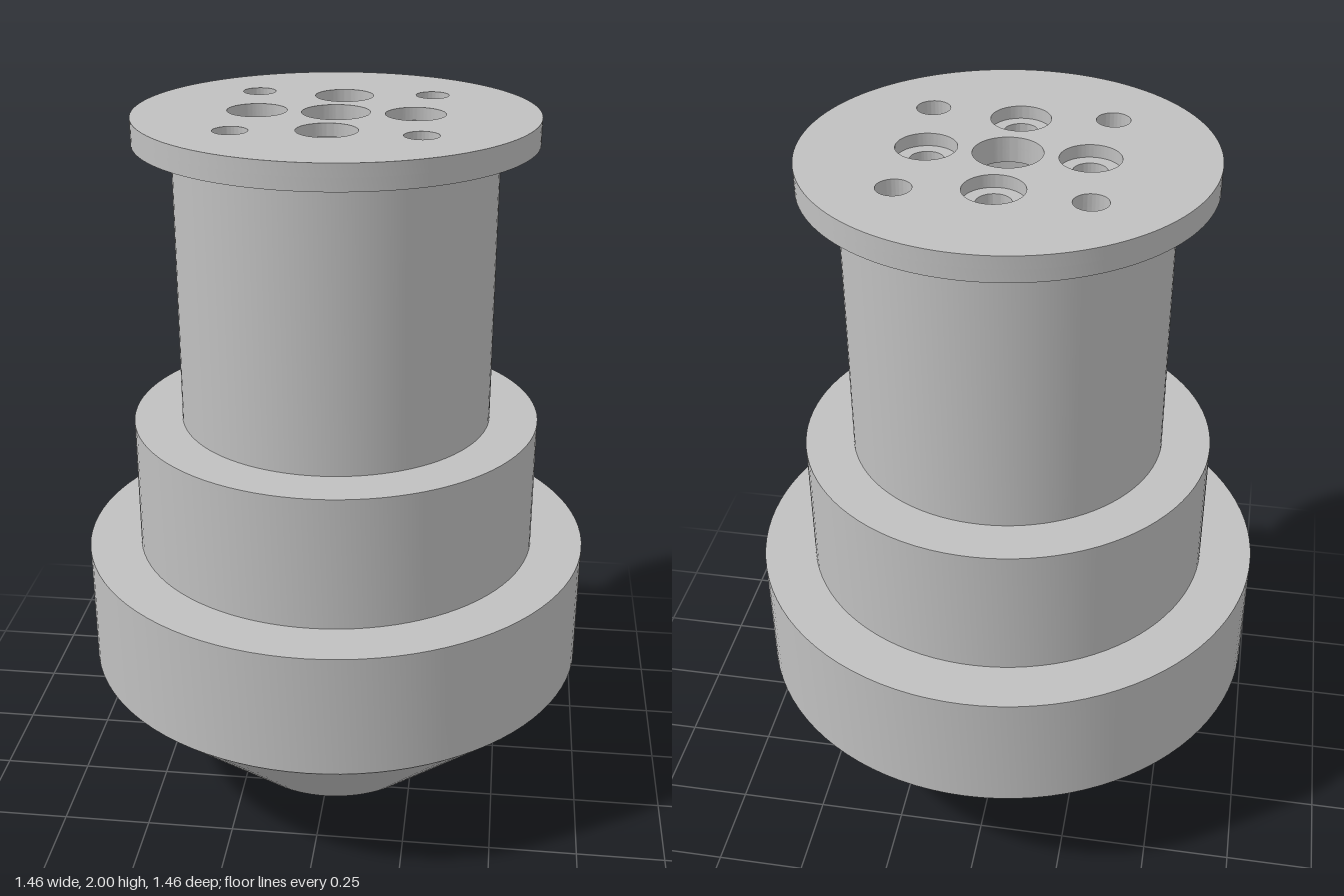
import * as THREE from 'three';
import { toCreasedNormals } from 'three/addons/utils/BufferGeometryUtils.js';

const metal = new THREE.MeshStandardMaterial({ color: 0xc0c0c0 });
metal.name = 'plain grey metal';

// Flat round plate with round holes given as [x, z, radius]
function drilledPlate(name, y, thickness, radius, holes) {
  const shape = new THREE.Shape().absarc(0, 0, radius, 0, Math.PI * 2, false);
  for (const [x, z, r] of holes) {
    shape.holes.push(new THREE.Path().absarc(x, -z, r, 0, Math.PI * 2, true));
  }
  const geometry = new THREE.ExtrudeGeometry(shape, {
    depth: thickness, bevelEnabled: false, curveSegments: 64,
  });
  geometry.rotateX(-Math.PI / 2);
  const mesh = new THREE.Mesh(toCreasedNormals(geometry, 0.5), metal);
  mesh.name = name;
  mesh.position.y = y;
  return mesh;
}

export function createModel() {
  const group = new THREE.Group();
  group.name = 'steppedHousing';

  // Hollow stepped body: up the outside, down the inside
  const profile = [
    [0.315, 0], [0.73, 0.39], [0.73, 0.75], [0.58, 0.75], [0.58, 1.135],
    [0.443, 1.135], [0.443, 1.93],
    [0.375, 1.93], [0.375, 1.135], [0.255, 1.135], [0.255, 0.39],
    [0.13, 0.39], [0.13, 0.16], [0.255, 0.16], [0.255, 0], [0.315, 0],
  ].map(([r, y]) => new THREE.Vector2(r, y));
  const body = new THREE.Mesh(
    toCreasedNormals(new THREE.LatheGeometry(profile, 96), 0.4), metal);
  body.name = 'steppedBody';
  group.add(body);

  // Hole pattern of the top flange: centre, four corners, four stepped holes
  const plain = [[0, 0, 0.092]];
  const wide = [];
  const narrow = [];
  for (let i = 0; i < 4; i++) {
    const a = i * Math.PI / 2;
    const x = 0.213 * Math.cos(a), z = 0.213 * Math.sin(a);
    wide.push([x, z, 0.081]);
    narrow.push([x, z, 0.046]);
    const d = a + Math.PI / 4;
    plain.push([0.345 * Math.cos(d), 0.345 * Math.sin(d), 0.046]);
  }
  group.add(drilledPlate('flangeLower', 1.93, 0.035, 0.548, [...plain, ...narrow]));
  group.add(drilledPlate('flangeUpper', 1.965, 0.035, 0.548, [...plain, ...wide]));

  return group;
}
